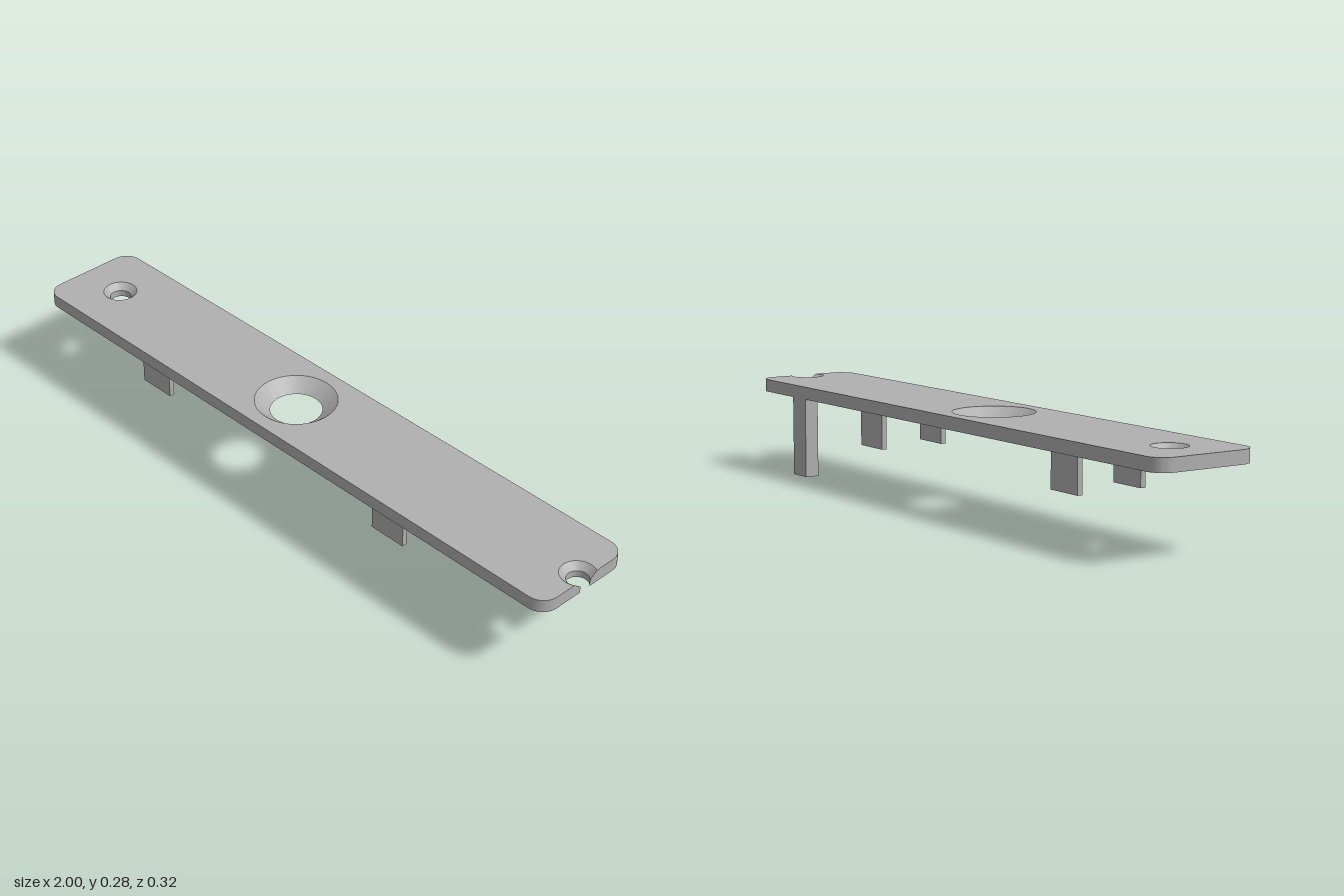
import * as THREE from 'three';
import { toCreasedNormals, mergeGeometries } from 'three/addons/utils/BufferGeometryUtils.js';

const TOP = 0.278, BOTTOM = 0.24, HALF_LENGTH = 1, HALF_WIDTH = 0.158, CORNER = 0.05;
const NOTCH_X = 0.975;

// Points along an arc, end points included
function arc(cx, cy, r, from, to, n) {
  return Array.from({ length: n + 1 }, (_, i) => {
    const a = from + (to - from) * i / n;
    return new THREE.Vector2(cx + r * Math.cos(a), cy + r * Math.sin(a));
  });
}

// Clockwise circle used as a hole
const hole = (x, r) => arc(x, 0, r, 0, -2 * Math.PI, 48).slice(0, -1);

// Rounded rectangle, with the open screw notch cut into its left end
function outline(notchRadius) {
  const x = HALF_LENGTH - CORNER, y = HALF_WIDTH - CORNER, q = Math.PI / 2;
  const t = Math.acos((HALF_LENGTH - NOTCH_X) / notchRadius);
  return [
    ...arc(x, -y, CORNER, -q, 0, 10),
    ...arc(NOTCH_X, 0, notchRadius, -t, t - 2 * Math.PI, 36),
    ...arc(x, y, CORNER, 0, q, 10),
    ...arc(-x, y, CORNER, q, 2 * q, 10),
    ...arc(-x, -y, CORNER, 2 * q, 3 * q, 10),
  ];
}

// Wall through closed rings listed from top to bottom: [height, points]
function wall(rings) {
  const pos = [];
  const put = ([y, pts], j) => {
    const p = pts[j % pts.length];
    pos.push(p.x, y, -p.y);
  };
  for (let i = 0; i + 1 < rings.length; i++) {
    const up = rings[i], lo = rings[i + 1];
    for (let j = 0; j < up[1].length; j++) {
      put(lo, j); put(lo, j + 1); put(up, j + 1);
      put(lo, j); put(up, j + 1); put(up, j);
    }
  }
  const g = new THREE.BufferGeometry();
  g.setAttribute('position', new THREE.Float32BufferAttribute(pos, 3));
  return g;
}

// Flat face of the plate with its holes
function face(contour, holes, y, up) {
  const shape = new THREE.Shape(contour);
  shape.holes = holes.map(h => new THREE.Path(h));
  const g = new THREE.ShapeGeometry(shape).toNonIndexed();
  g.deleteAttribute('uv');
  g.deleteAttribute('normal');
  return g.rotateX(up ? -Math.PI / 2 : Math.PI / 2).translate(0, y, 0);
}

function plateGeometry() {
  // Height and radius pairs, from top to bottom
  const screw = [[TOP, 0.05], [0.26, 0.031], [BOTTOM, 0.031]];
  const centre = [[TOP, 0.118], [0.244, 0.074], [0.244, 0.103], [BOTTOM, 0.103]];
  const edge = screw.map(([y, r]) => [y, outline(r)]);
  const screwRings = screw.map(([y, r]) => [y, hole(-0.845, r)]);
  const centreRings = centre.map(([y, r]) => [y, hole(-0.07, r)]);
  const loops = [edge, screwRings, centreRings];
  const cap = (k, y, up) => {
    const [contour, ...holes] = loops.map(l => l.at(k)[1]);
    return face(contour, holes, y, up);
  };
  const merged = mergeGeometries([...loops.map(wall), cap(0, TOP, true), cap(-1, BOTTOM, false)]);
  return toCreasedNormals(merged, 0.5);
}

export function createModel() {
  const model = new THREE.Group();
  model.name = 'coverPlate';
  const grey = new THREE.MeshStandardMaterial({ color: 0xb0b0b0 });
  grey.name = 'grey';

  function add(name, geometry) {
    const mesh = new THREE.Mesh(geometry, grey);
    mesh.name = name;
    model.add(mesh);
  }
  function addBlock(name, x0, x1, y0, z0, z1) {
    const g = new THREE.BoxGeometry(x1 - x0, BOTTOM - y0, z1 - z0);
    add(name, g.translate((x0 + x1) / 2, (y0 + BOTTOM) / 2, (z0 + z1) / 2));
  }

  add('plate', plateGeometry());

  // Four clip tabs under the plate
  for (const [side, x0, x1] of [['Right', -0.608, -0.491], ['Left', 0.349, 0.466]]) {
    addBlock('frontTab' + side, x0, x1, 0.127, 0.097, 0.113);
    addBlock('backTab' + side, x0, x1, 0.127, -0.11, -0.094);
  }

  // Long locating leg at the back edge
  addBlock('leg', 0.716, 0.791, 0, -0.157, -0.114);

  return model;
}
